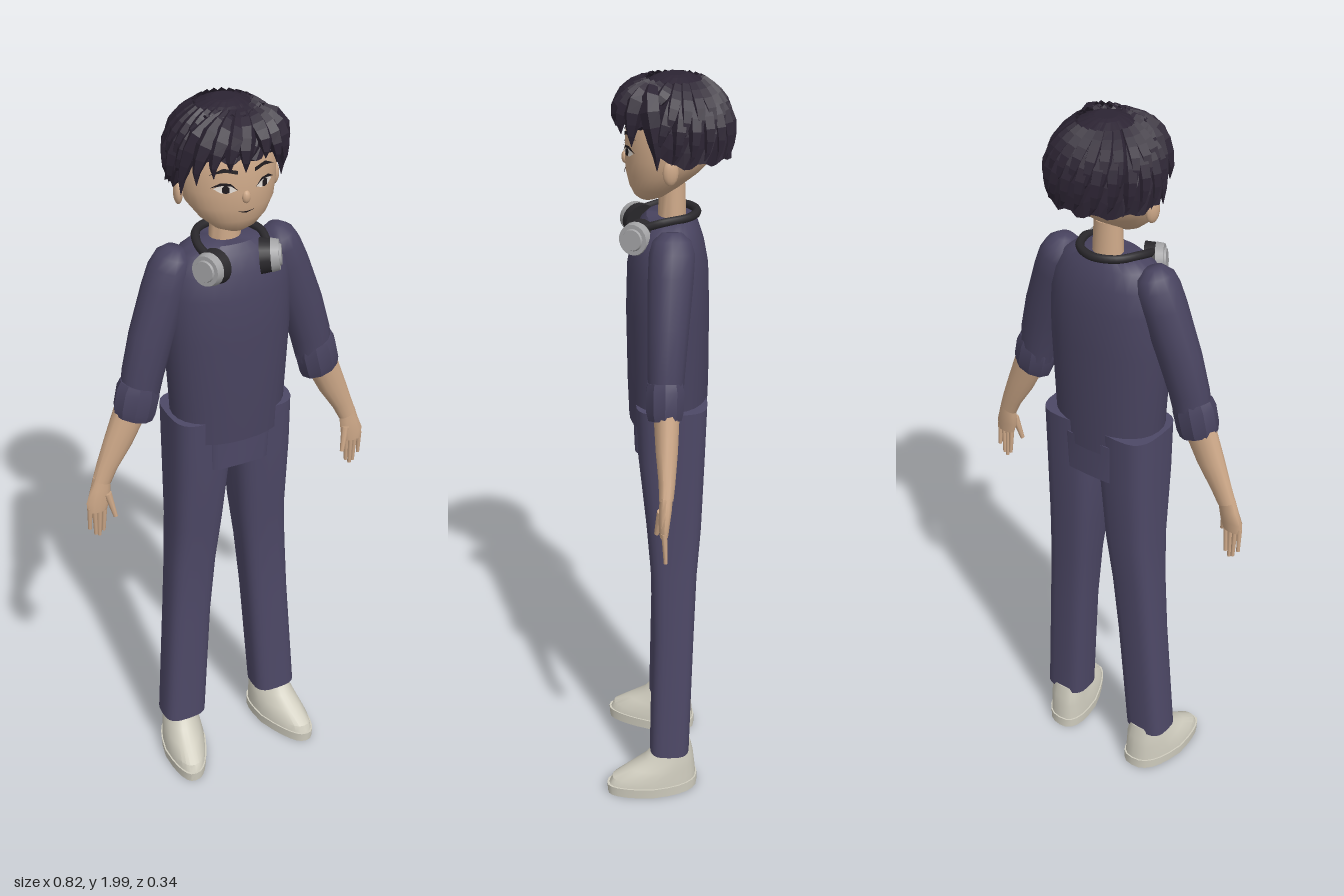
import * as THREE from 'three';
import { toCreasedNormals } from 'three/addons/utils/BufferGeometryUtils.js';

const mat = (name, color, extra = {}) => Object.assign(new THREE.MeshStandardMaterial({ color, ...extra }), { name });
const M = {
  shirt: mat('shirt indigo', 0x48435f),
  trousers: mat('trouser indigo', 0x4d4866),
  skin: mat('skin', 0xcda888),
  hair: mat('dark hair', 0x2c2433, { flatShading: true, side: THREE.DoubleSide }),
  shoe: mat('shoe cream', 0xd0cdbf),
  black: mat('black', 0x2a282c),
  grey: mat('metal grey', 0xa3a3a5),
  ink: mat('face ink', 0x1f1a1e, { side: THREE.DoubleSide }),
  white: mat('eye white', 0xe4ddd6, { side: THREE.DoubleSide }),
};

// Joins rings of points (listed upwards) into a closed skin with end caps
function skin(rings, crease = 0.8) {
  const n = rings[0].length, pos = rings.flat(2), idx = [];
  for (let i = 0; i < rings.length - 1; i++)
    for (let j = 0; j < n; j++) {
      const a = i * n + j, b = i * n + (j + 1) % n;
      idx.push(a, a + n, b, b, a + n, b + n);
    }
  [0, rings.length - 1].forEach((r) => {
    const c = pos.length / 3;
    for (let k = 0; k < 3; k++) pos.push(rings[r].reduce((t, p) => t + p[k], 0) / n);
    for (let j = 0; j < n; j++) {
      const a = r * n + j, b = r * n + (j + 1) % n;
      idx.push(c, ...(r ? [b, a] : [a, b]));
    }
  });
  const g = new THREE.BufferGeometry();
  g.setAttribute('position', new THREE.Float32BufferAttribute(pos, 3));
  g.setIndex(idx);
  return toCreasedNormals(g, crease);
}

// Sections are [centreX, y, centreZ, radiusX, radiusZ]; s mirrors, power squares the outline
function loft(sections, { s = 1, power = 2, n = 20, tilt = 0, skew = 0, taper = 0, crease } = {}) {
  const sp = (v) => Math.sign(v) * Math.abs(v) ** (2 / power);
  return skin(sections.map(([cx, y, cz, rx, rz]) => Array.from({ length: n }, (_, j) => {
    const a = (j / n) * Math.PI * 2, u = sp(Math.cos(a)), w = sp(Math.sin(a));
    const dx = u * rx * (1 - taper * Math.max(0, w));
    return [s * cx + dx + s * skew * w * rz, y + s * tilt * dx, cz + w * rz];
  })), crease);
}

// Head sections, also used to lay the face details on the surface
const HEAD = [
  [0, 1.688, 0.042, 0.025, 0.02], [0, 1.7, 0.036, 0.055, 0.04], [0, 1.725, 0.024, 0.085, 0.064],
  [0, 1.76, 0.005, 0.11, 0.091], [0, 1.8, -0.013, 0.122, 0.111], [0, 1.85, -0.02, 0.125, 0.116],
  [0, 1.91, -0.022, 0.112, 0.108], [0, 1.96, -0.025, 0.075, 0.075], [0, 1.98, -0.025, 0.03, 0.03],
];
function faceZ(x, y) {
  const i = HEAD.findIndex((h, k) => y >= h[1] && y < HEAD[k + 1][1]);
  const t = (y - HEAD[i][1]) / (HEAD[i + 1][1] - HEAD[i][1]);
  const [, , cz, rx, rz] = HEAD[i].map((v, k) => THREE.MathUtils.lerp(v, HEAD[i + 1][k], t));
  return cz + rz * Math.sqrt(Math.max(0, 1 - (x / rx) ** 2));
}
function facePatch(points, lift) {
  const g = new THREE.ShapeGeometry(new THREE.Shape(points.map((p) => new THREE.Vector2(...p))));
  const p = g.attributes.position;
  for (let i = 0; i < p.count; i++) p.setZ(i, faceZ(p.getX(i), p.getY(i)) + lift);
  g.computeVertexNormals();
  return g;
}

// Hair lock: a five-sided tube that tapers to its tip
function lock(points, radius) {
  const curve = new THREE.CatmullRomCurve3(points);
  const g = new THREE.TubeGeometry(curve, 6, radius, 5), p = g.attributes.position, v = new THREE.Vector3();
  for (let i = 0; i < p.count; i++) {
    const u = Math.floor(i / 6) / 6, c = curve.getPointAt(u);
    v.fromBufferAttribute(p, i).sub(c).multiplyScalar(0.03 + 0.97 * Math.sin(Math.PI * (0.25 + 0.75 * u)));
    p.setXYZ(i, c.x + v.x, c.y + v.y, c.z + v.z);
  }
  return g;
}
// Point on the scalp at an azimuth (front is +90 degrees) and height
function scalp(az, y, k = 1) {
  const r = k * Math.sqrt(Math.max(0, 1 - Math.max(0, (y - 1.84) / 0.156) ** 2));
  return [0.134 * r * Math.cos(az), y, -0.025 + 0.132 * r * Math.sin(az)];
}
const rimY = (az) => 1.805 + 0.085 * THREE.MathUtils.smoothstep(Math.sin(az), 0.05, 0.6);

export function createModel() {
  const model = new THREE.Group();
  const add = (name, geo, material, parent = model) => {
    const m = new THREE.Mesh(geo, material);
    m.name = name;
    parent.add(m);
    return m;
  };
  const rod = (name, a, b, r0, r1, material) => {
    const A = new THREE.Vector3(...a), d = new THREE.Vector3(...b).sub(A);
    const m = add(name, new THREE.CylinderGeometry(r1, r0, d.length(), 8), material);
    m.position.copy(A).addScaledVector(d, 0.5);
    m.quaternion.setFromUnitVectors(new THREE.Vector3(0, 1, 0), d.normalize());
    return m;
  };

  // Trunk
  add('shirtBody', loft([
    [0, 1.105, -0.008, 0.152, 0.102], [0, 1.2, -0.008, 0.156, 0.105], [0, 1.4, -0.007, 0.168, 0.106],
    [0, 1.52, -0.007, 0.166, 0.102], [0, 1.58, -0.008, 0.155, 0.09], [0, 1.625, -0.01, 0.125, 0.073],
    [0, 1.645, -0.012, 0.085, 0.058],
  ], { power: 2.2, n: 28 }), M.shirt);
  add('pelvis', loft([[0, 1.02, -0.012, 0.09, 0.093], [0, 1.135, -0.012, 0.095, 0.097]], { power: 6 }), M.trousers);
  add('neck', loft([[0, 1.62, -0.018, 0.042, 0.036], [0, 1.73, -0.018, 0.036, 0.032]]), M.skin);

  // Limbs
  for (const s of [1, -1]) {
    add('trouserLeg', loft([
      [0.147, 0.13, -0.01, 0.063, 0.055], [0.122, 0.5, -0.02, 0.063, 0.057], [0.108, 0.68, -0.022, 0.066, 0.062],
      [0.096, 0.82, -0.022, 0.071, 0.073], [0.088, 1.02, -0.016, 0.08, 0.087], [0.088, 1.17, -0.016, 0.08, 0.092],
    ], { s, power: 3.2, n: 24 }), M.trousers);

    const shoe = (rows) => loft(rows.map(([y, back, front, rx]) => {
      const cz = (back + front) / 2;
      return [0.153 + 0.18 * cz, y, cz, rx, (front - back) / 2];
    }), { s, power: 2.6, skew: 0.18, taper: 0.35, n: 24, crease: 0.6 });
    add('sole', shoe([[0, -0.088, 0.165, 0.064], [0.03, -0.088, 0.167, 0.066]]), M.shoe);
    add('shoeUpper', shoe([
      [0.028, -0.084, 0.162, 0.062], [0.05, -0.083, 0.152, 0.061], [0.078, -0.08, 0.105, 0.057],
      [0.105, -0.077, 0.06, 0.053], [0.145, -0.068, 0.03, 0.046],
    ]), M.shoe);

    add('sleeve', loft([
      [0.25, 1.25, 0.002, 0.048, 0.043], [0.237, 1.32, 0, 0.053, 0.047], [0.207, 1.42, -0.005, 0.057, 0.052],
      [0.165, 1.54, -0.012, 0.057, 0.057], [0.148, 1.59, -0.015, 0.053, 0.057], [0.14, 1.62, -0.015, 0.042, 0.048],
      [0.135, 1.64, -0.015, 0.02, 0.025],
    ], { s, tilt: 0.25, n: 14 }), M.shirt);
    add('cuff', loft([
      [0.268, 1.205, 0.004, 0.05, 0.043], [0.264, 1.225, 0.004, 0.055, 0.048],
      [0.252, 1.275, 0.003, 0.056, 0.049], [0.247, 1.295, 0.003, 0.05, 0.045],
    ], { s, tilt: 0.33, n: 10, crease: 0.4 }), M.shirt);
    add('forearm', loft([
      [0.362, 1.03, 0.002, 0.024, 0.018], [0.345, 1.07, 0, 0.027, 0.021],
      [0.31, 1.14, 0, 0.036, 0.028], [0.27, 1.23, 0, 0.042, 0.033],
    ], { s, tilt: 0.4, n: 14 }), M.skin);
    add('palm', loft([
      [0.38, 0.945, 0.008, 0.027, 0.011], [0.376, 0.975, 0.007, 0.033, 0.014],
      [0.368, 1.01, 0.004, 0.028, 0.016], [0.362, 1.045, 0.002, 0.023, 0.016],
    ], { s, n: 12 }), M.skin);
    [[0.36, 0.365, 0.875], [0.374, 0.377, 0.862], [0.388, 0.387, 0.868], [0.401, 0.403, 0.89]].forEach(([x, tip, y]) =>
      rod('finger', [s * x, 0.96, 0.008], [s * tip, y, 0.004], 0.0075, 0.005, M.skin));
    rod('thumb', [s * 0.352, 0.995, 0.014], [s * 0.338, 0.925, 0.026], 0.011, 0.006, M.skin);

    // Ear
    const ear = add('ear', new THREE.SphereGeometry(1, 12, 10), M.skin);
    ear.scale.set(0.012, 0.033, 0.02);
    ear.position.set(s * 0.125, 1.785, -0.012);
    ear.rotation.y = s * 0.3;

    // Eye and brow
    const side = (pts) => pts.map(([x, y]) => [s * x, y]);
    add('eyeWhite', facePatch(side([[0.025, 1.811], [0.04, 1.806], [0.06, 1.806], [0.076, 1.816], [0.06, 1.826], [0.04, 1.825]]), 0.003), M.white);
    add('iris', facePatch(side([[0.043, 1.808], [0.051, 1.805], [0.058, 1.808], [0.059, 1.82], [0.051, 1.826], [0.043, 1.82]]), 0.0045), M.ink);
    add('upperLid', facePatch(side([[0.022, 1.811], [0.04, 1.824], [0.06, 1.825], [0.083, 1.818], [0.062, 1.832], [0.04, 1.83]]), 0.005), M.ink);
    add('brow', facePatch(side([[0.022, 1.85], [0.05, 1.857], [0.084, 1.849], [0.054, 1.866], [0.022, 1.859]]), 0.004), M.ink);

    // Headphone cup
    const cup = new THREE.Group();
    cup.name = 'headphoneCup';
    const ring = (name, r, h, out, material) => {
      add(name, new THREE.CylinderGeometry(r * 0.9, r, h, 20), material, cup).position.y = out;
    };
    ring('cushion', 0.045, 0.028, -0.012, M.black);
    ring('shell', 0.042, 0.02, 0.011, M.grey);
    ring('cap', 0.028, 0.006, 0.023, M.grey);
    cup.position.set(s * 0.082, 1.608, 0.07);
    cup.quaternion.setFromUnitVectors(new THREE.Vector3(0, 1, 0), new THREE.Vector3(s * 0.86, 0.1, 0.48).normalize());
    model.add(cup);
  }

  // Headphone band behind the neck
  const band = [[-0.082, 1.635, 0.05], [-0.085, 1.648, 0.005], [-0.055, 1.652, -0.058], [0, 1.652, -0.08],
    [0.055, 1.652, -0.058], [0.085, 1.648, 0.005], [0.082, 1.635, 0.05]].map((p) => new THREE.Vector3(...p));
  add('headphoneBand', new THREE.TubeGeometry(new THREE.CatmullRomCurve3(band), 30, 0.011, 8), M.black);

  // Head, nose and mouth
  add('head', loft(HEAD, { n: 36, crease: 1.2 }), M.skin);
  const nose = add('nose', new THREE.SphereGeometry(1, 10, 8), M.skin);
  nose.scale.set(0.011, 0.016, 0.009);
  nose.position.set(0, 1.79, 0.097);
  add('mouth', facePatch([[-0.026, 1.757], [0, 1.75], [0.026, 1.757], [0.012, 1.7555], [0, 1.7545], [-0.012, 1.7555]], 0.004), M.ink);

  // Hair cap with a jagged rim
  const N = 48;
  add('hairCap', skin(Array.from({ length: 9 }, (_, i) => Array.from({ length: N }, (_, j) => {
    const az = (j / N) * Math.PI * 2, low = rimY(az) - (j % 4 < 2 ? 0 : 0.01);
    const y = low + (1.993 - low) * Math.sin((i / 8) * Math.PI / 2);
    return scalp(az, y, 1.02 + 0.02 * ((j + i) % 3));
  }))), M.hair);

  // Locks around the head, in two overlapping rows
  const hair = new THREE.Group();
  hair.name = 'hairLocks';
  model.add(hair);
  const V = (p) => new THREE.Vector3(...p);
  for (let row = 0; row < 2; row++)
    for (let i = 0; i < 22; i++) {
      const az = ((i + row / 2) / 22) * Math.PI * 2, low = rimY(az) + row * 0.055 - 0.005 * (i % 2);
      const top = 1.95 + row * 0.025;
      add('lock', lock([V(scalp(az - 0.18, top, 0.95)), V(scalp(az - 0.06, (top * 1.1 + low * 0.9) / 2, 1.02)),
        V(scalp(az, low + 0.025, 1.04)), V(scalp(az + 0.08, low, 1.03))], 0.02), M.hair, hair);
    }

  // Fringe swept from the parting; each entry is [tip x, tip y, tip z]
  [[-0.132, 1.79, 0.02], [-0.115, 1.83, 0.07], [-0.085, 1.852, 0.1], [-0.05, 1.868, 0.115], [-0.012, 1.862, 0.118],
    [0.04, 1.885, 0.115], [0.075, 1.865, 0.105], [0.105, 1.842, 0.08], [0.132, 1.79, 0.02]].forEach(([x, y, z]) =>
    add('fringe', lock([V([0.02 + x * 0.35, 1.97, 0.03 + z * 0.1]), V([0.01 + x * 0.75, 1.94, 0.025 + z * 0.55]),
      V([x * 0.99, y + 0.035, z]), V([x, y, z])], 0.025), M.hair, hair));

  return model;
}
